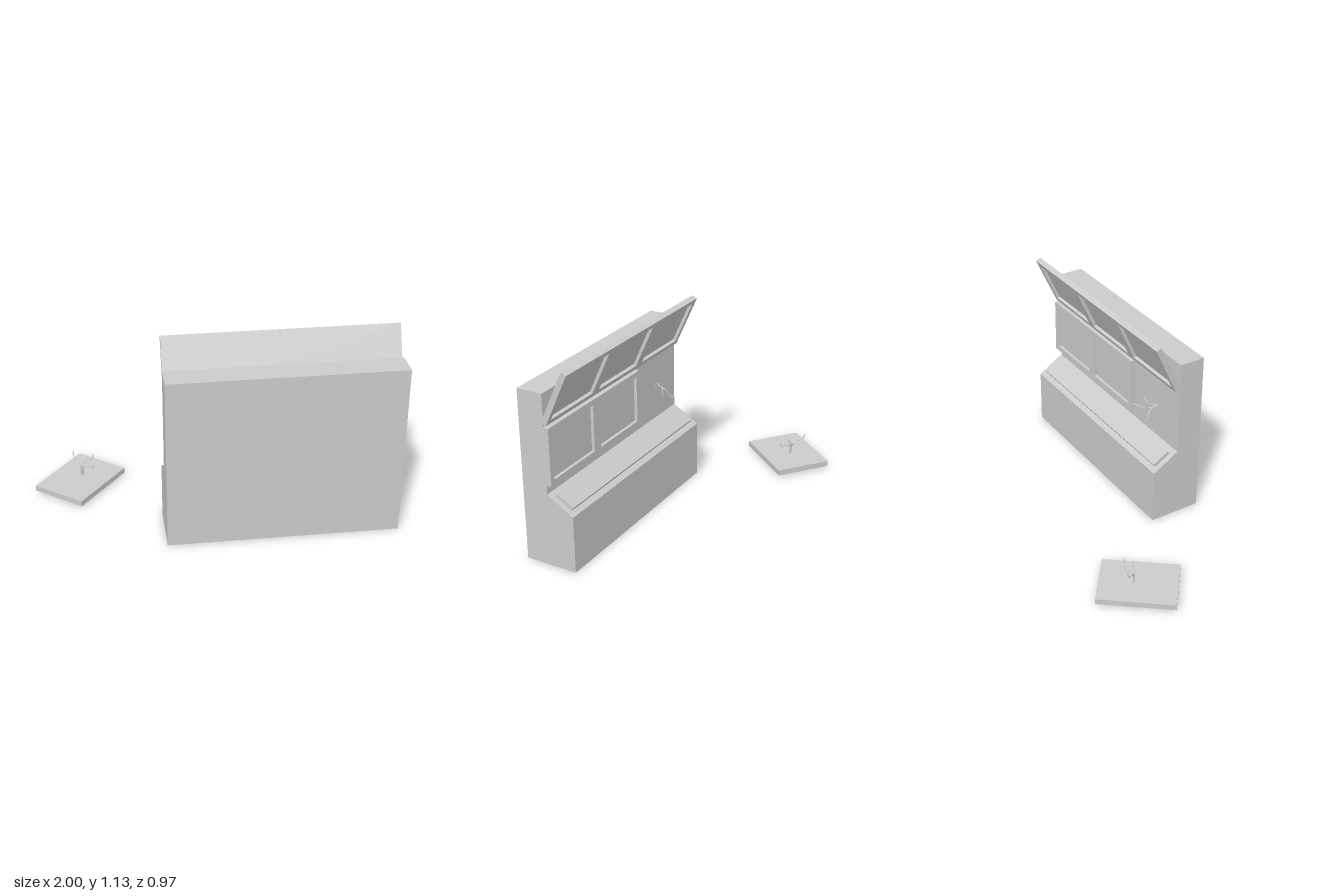
import * as THREE from 'three';

const material = new THREE.MeshStandardMaterial({ color: 0xcccccc, flatShading: true });
const wireMaterial = new THREE.MeshStandardMaterial({ color: 0xcccccc });

const W = 0.428, H = 0.328, T = 0.033; // one monitor
const BORDER = 0.03, RECESS = 0.018;
const RIGHT_END = -0.289; // x where the monitor rows start

function mesh(name, geometry, mat = material) {
  const m = new THREE.Mesh(geometry, mat);
  m.name = name;
  return m;
}

// Rectangle path centred on the origin
function rect(path, w, h) {
  path.moveTo(-w / 2, -h / 2);
  path.lineTo(w / 2, -h / 2);
  path.lineTo(w / 2, h / 2);
  path.lineTo(-w / 2, h / 2);
  path.closePath();
  return path;
}

// Row of monitors: frame with recessed screens, front face at z = 0 looking +z
function monitorRow(name, count, thickness = T) {
  const group = new THREE.Group();
  group.name = name;
  const shape = rect(new THREE.Shape(), W * count, H);
  for (let i = 0; i < count; i++) {
    const x = (i - (count - 1) / 2) * W;
    const w = W / 2 - BORDER, h = H / 2 - BORDER;
    const hole = new THREE.Path();
    hole.moveTo(x - w, -h);
    hole.lineTo(x - w, h);
    hole.lineTo(x + w, h);
    hole.lineTo(x + w, -h);
    hole.closePath();
    shape.holes.push(hole);
  }
  const frame = mesh('monitorFrame', new THREE.ExtrudeGeometry(shape, { depth: RECESS, bevelEnabled: false }));
  frame.position.z = -RECESS;
  const backDepth = thickness - RECESS;
  const back = mesh('monitorBack', new THREE.BoxGeometry(W * count, H, backDepth));
  back.position.z = -RECESS - backDepth / 2;
  group.add(frame, back);
  return group;
}

// Bundle of thin bent wires
function wires(name, paths) {
  const group = new THREE.Group();
  group.name = name;
  for (const points of paths) {
    const curve = new THREE.CatmullRomCurve3(points.map(p => new THREE.Vector3(...p)));
    group.add(mesh('wire', new THREE.TubeGeometry(curve, 20, 0.003, 8), wireMaterial));
    const tip = mesh('wireTip', new THREE.SphereGeometry(0.003, 8, 6), wireMaterial);
    tip.position.copy(curve.getPoint(1));
    group.add(tip);
  }
  return group;
}

export function createModel() {
  const model = new THREE.Group();
  model.name = 'controlConsole';

  // Cabinet: side profile in (-z, y), swept along x
  const profile = [[-0.483, 0], [-0.177, 0], [-0.177, 0.327], [-0.332, 0.421], [-0.332, 0.983], [-0.483, 0.983]];
  const cabinetShape = new THREE.Shape(profile.map(p => new THREE.Vector2(...p)));
  const cabinet = mesh('cabinet', new THREE.ExtrudeGeometry(cabinetShape, { depth: 1.283, bevelEnabled: false }));
  cabinet.rotation.y = Math.PI / 2;
  cabinet.position.x = -0.294;
  model.add(cabinet);

  // Raised control board on the sloping desk
  const slope = Math.atan2(0.094, 0.155);
  const board = mesh('controlBoard', new THREE.BoxGeometry(1.22, 0.021, 0.112));
  board.rotation.x = -slope;
  board.position.set(0.348, 0.374 + 0.0105 * Math.cos(slope), 0.2545 - 0.0105 * Math.sin(slope));
  model.add(board);

  // Upper row of three monitors, tilted over the desk
  const upper = monitorRow('upperMonitors', 3);
  upper.rotation.set(-0.431, Math.PI, 0);
  upper.position.set(RIGHT_END + 1.5 * W, 0.963, 0.2425);
  model.add(upper);

  // Lower row, with the monitor at its right end missing
  const lower = monitorRow('lowerMonitors', 2);
  lower.rotation.y = Math.PI;
  lower.position.set(RIGHT_END + 2 * W, 0.6385, 0.299);
  model.add(lower);

  // Torn-off monitor lying face down
  const fallen = monitorRow('fallenMonitor', 1);
  fallen.rotation.set(Math.PI / 2, 0.901, 0, 'YXZ');
  fallen.position.set(-0.74, 0.012, -0.2155);
  model.add(fallen);

  // Loose wires on the wall and on the back of the fallen monitor
  model.add(wires('wallWires', [
    [[-0.088, 0.627, 0.336], [-0.075, 0.631, 0.3], [-0.035, 0.638, 0.288], [-0.018, 0.662, 0.284], [-0.014, 0.671, 0.272]],
    [[-0.086, 0.622, 0.336], [-0.083, 0.616, 0.288], [-0.05, 0.6, 0.268], [-0.022, 0.608, 0.25], [0, 0.612, 0.229]],
    [[-0.092, 0.62, 0.336], [-0.09, 0.612, 0.288], [-0.098, 0.597, 0.268], [-0.112, 0.564, 0.25], [-0.114, 0.556, 0.229]],
  ]));
  model.add(wires('fallenMonitorWires', [
    [[-0.735, 0.04, -0.24], [-0.736, 0.1, -0.247], [-0.755, 0.125, -0.27], [-0.772, 0.137, -0.297], [-0.776, 0.167, -0.311]],
    [[-0.728, 0.04, -0.24], [-0.725, 0.1, -0.244], [-0.7, 0.122, -0.27], [-0.67, 0.135, -0.265], [-0.656, 0.166, -0.255]],
    [[-0.722, 0.04, -0.235], [-0.718, 0.1, -0.233], [-0.7, 0.106, -0.225], [-0.67, 0.108, -0.203], [-0.665, 0.125, -0.197]],
  ]));

  return model;
}
